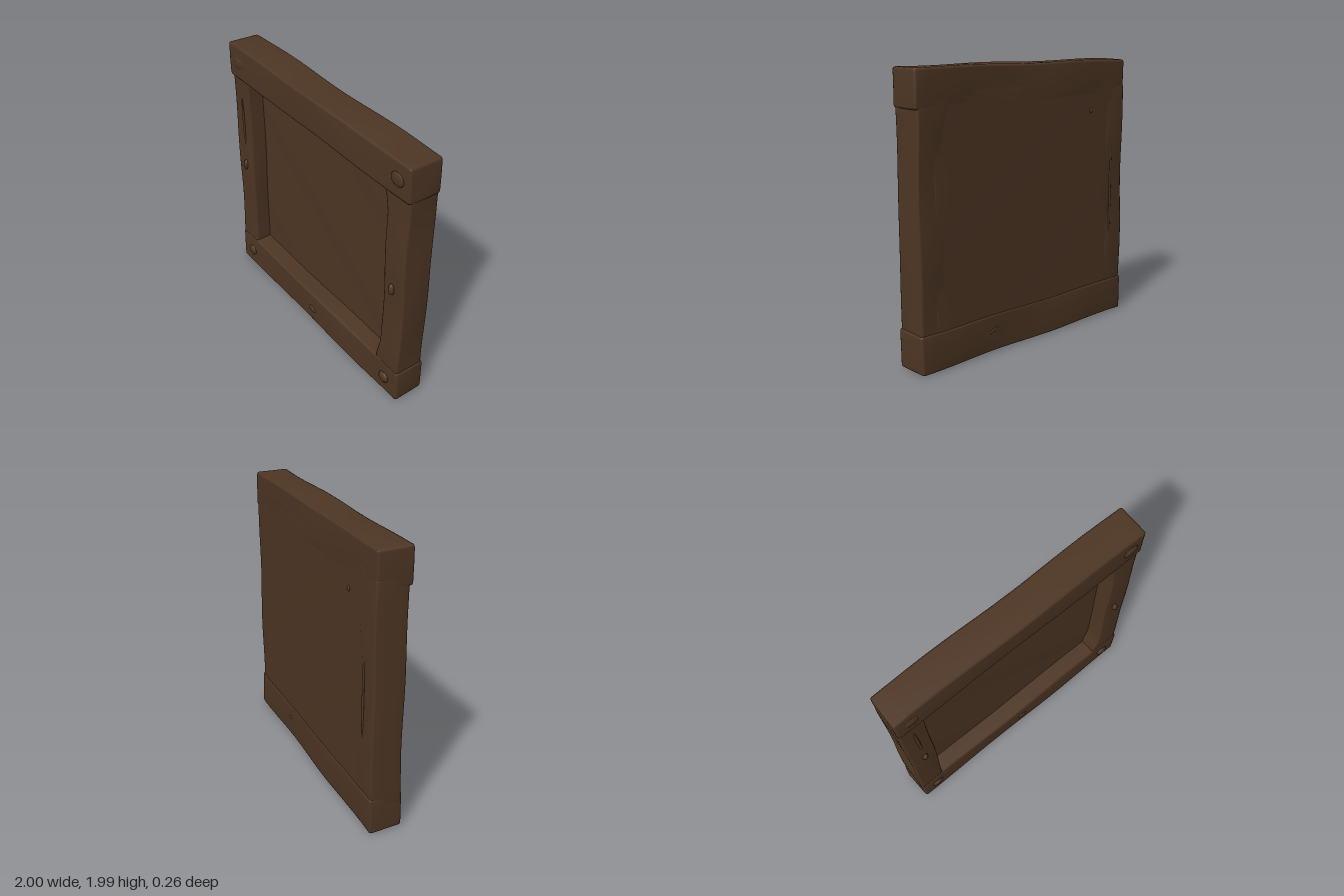
import * as THREE from 'three';
import { mergeVertices } from 'three/addons/utils/BufferGeometryUtils.js';

const wood = new THREE.MeshStandardMaterial({ color: 0x4e3624 });
wood.name = 'darkWood';

// Softly rounded, slightly uneven plank spanning [x0,x1] [y0,y1] [z0,z1]
function plank(name, [x0, x1], [y0, y1], [z0, z1], { r = 0.018, wobble = 0.004, warp } = {}) {
  const size = [x1 - x0, y1 - y0, z1 - z0];
  const mid = [(x0 + x1) / 2, (y0 + y1) / 2, (z0 + z1) / 2];
  const seg = size.map((s) => Math.max(4, Math.round(s / 0.06)));
  let geo = new THREE.BoxGeometry(...size, ...seg);
  geo.deleteAttribute('normal');
  geo.deleteAttribute('uv');
  geo = mergeVertices(geo, 1e-4);
  const pos = geo.attributes.position;
  const p = new THREE.Vector3(), core = new THREE.Vector3(), d = new THREE.Vector3();
  for (let i = 0; i < pos.count; i++) {
    p.fromBufferAttribute(pos, i);
    // pull the second row to the bevel line, then round the corner
    for (let a = 0; a < 3; a++) {
      const h = size[a] / 2, v = p.getComponent(a);
      const row = Math.round((v + h) / size[a] * seg[a]);
      if (row === 1) p.setComponent(a, -h + r);
      if (row === seg[a] - 1) p.setComponent(a, h - r);
      core.setComponent(a, THREE.MathUtils.clamp(p.getComponent(a), -h + r, h - r));
    }
    d.subVectors(p, core);
    if (d.lengthSq() > 0) p.copy(core).addScaledVector(d.normalize(), r);
    p.add(d.set(...mid));
    // hand-hewn unevenness
    const { x, y, z } = p;
    p.x += wobble * Math.sin(5 * y + 9 * z + mid[0] * 4);
    p.y += wobble * Math.sin(6 * x + 8 * z + mid[1] * 3);
    p.z += wobble * Math.sin(5 * x + 7 * y + mid[0]);
    if (warp) warp(p);
    pos.setXYZ(i, p.x, p.y, p.z);
  }
  geo.computeVertexNormals();
  const mesh = new THREE.Mesh(geo, wood);
  mesh.name = name;
  return mesh;
}

// Flattened lump standing proud of the wood
function lump(name, x, y, z, sx, sy, sz, tilt = 0) {
  const mesh = new THREE.Mesh(new THREE.SphereGeometry(1, 10, 6), wood);
  mesh.position.set(x, y, z);
  mesh.scale.set(sx, sy, sz);
  mesh.rotation.z = tilt;
  mesh.name = name;
  return mesh;
}

export function createModel() {
  const group = new THREE.Group();
  group.name = 'woodenFrame';

  // Rails
  group.add(plank('topRail', [-0.995, 0.995], [1.73, 1.987], [-0.125, 0.118]));
  group.add(plank('bottomRail', [-0.995, 0.995], [0.004, 0.275], [-0.131, 0.11]));

  // Posts; the left one widens towards the rails at its inner edge
  const flare = (p) => {
    const end = Math.max(0, (Math.abs(p.y - 1.0) - 0.55) / 0.18);
    if (p.x < 0.85) p.x -= 0.04 * Math.min(1, end);
  };
  group.add(plank('rightPost', [-0.99, -0.79], [0.2, 1.8], [-0.124, 0.102]));
  group.add(plank('leftPost', [0.79, 0.99], [0.2, 1.8], [-0.124, 0.102], { warp: flare }));

  // Recessed panel filling the opening
  group.add(plank('backPanel', [-0.87, 0.87], [0.15, 1.85], [-0.124, -0.02], { wobble: 0.002 }));

  // Knots at the corners and middles
  for (const s of [-1, 1]) {
    group.add(lump('postKnot', s * 0.88, 0.99, 0.105, 0.022, 0.045, 0.025, s * 0.1));
    group.add(lump('bottomKnot', s * 0.86, 0.14, 0.108, 0.05, 0.045, 0.022));
    group.add(lump('topKnot', s * 0.88, 1.86, 0.116, 0.06, 0.05, 0.013));
  }
  group.add(lump('middleKnot', 0, 0.13, 0.108, 0.05, 0.03, 0.017));

  // Splinters along the right post, front and back
  group.add(lump('splinter', -0.885, 1.35, 0.1, 0.012, 0.24, 0.009, 0.03));
  group.add(lump('backSplinter', -0.85, 1.0, -0.122, 0.012, 0.55, 0.008));
  group.add(lump('backChip', -0.62, 1.62, -0.122, 0.02, 0.02, 0.008));
  group.add(lump('backChip', 0.38, 0.16, -0.128, 0.06, 0.012, 0.008, -0.3));
  return group;
}
